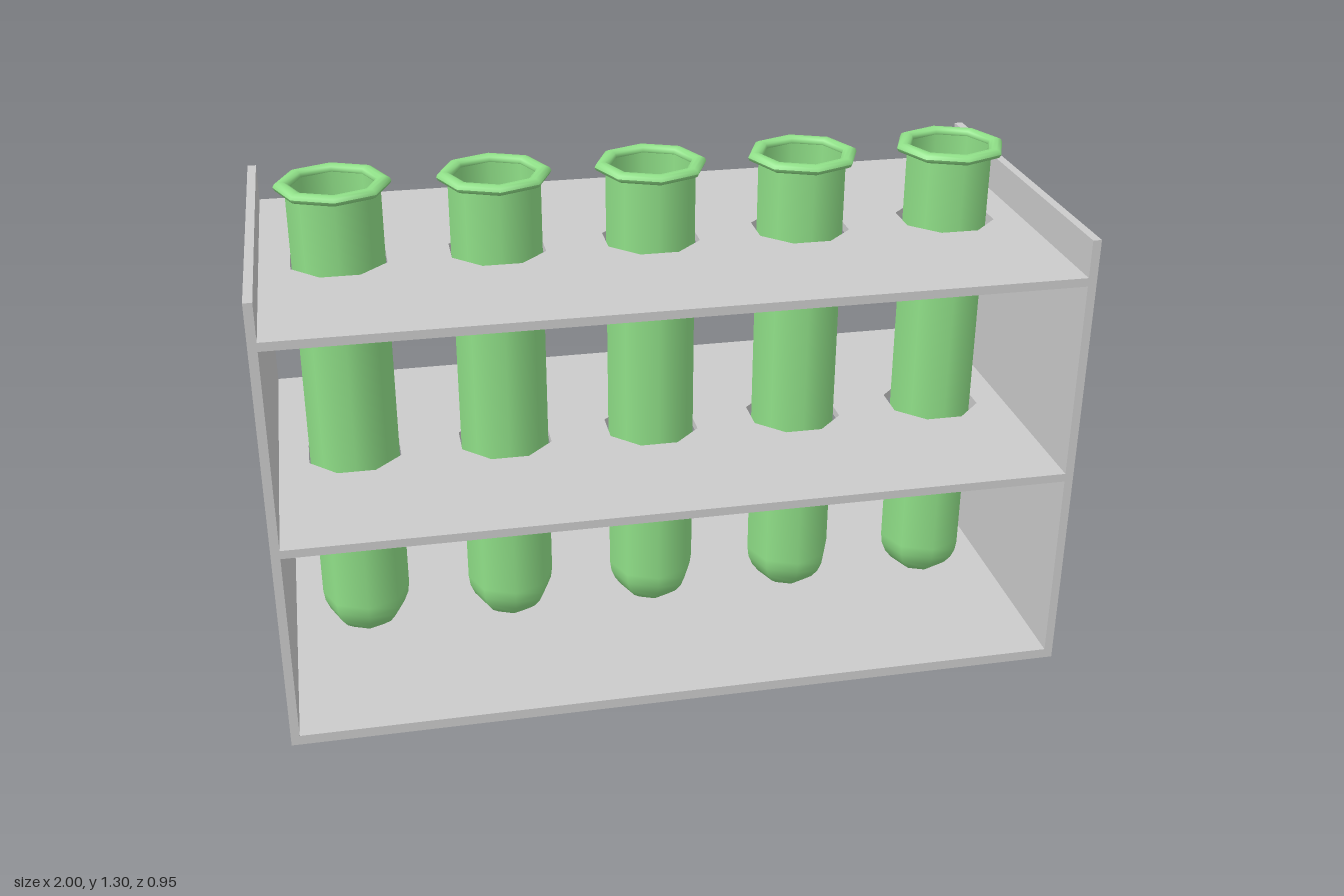
import * as THREE from 'three';

const DEPTH = 0.95, HEIGHT = 1.19, T = 0.022;
const PITCH = 0.392, R = 0.115, SIDES = 8;
const tubeX = [-2, -1, 0, 1, 2].map((i) => i * PITCH);

const grey = new THREE.MeshStandardMaterial({ color: 0xcccccc });
const green = new THREE.MeshStandardMaterial({ color: 0x90e088 });

function add(parent, name, geometry, material, x = 0, y = 0) {
  const mesh = new THREE.Mesh(geometry, material);
  mesh.name = name;
  mesh.position.set(x, y, 0);
  parent.add(mesh);
  return mesh;
}

// Horizontal board with one octagonal hole per tube
function shelfGeometry() {
  const w = 1 - T, d = DEPTH / 2;
  const shape = new THREE.Shape([[-w, -d], [w, -d], [w, d], [-w, d]].map((p) => new THREE.Vector2(...p)));
  for (const x of tubeX) {
    const corners = [];
    for (let i = 0; i < SIDES; i++) {
      const a = -((i + 0.5) / SIDES) * Math.PI * 2;
      corners.push(new THREE.Vector2(x + 0.127 * Math.cos(a), 0.127 * Math.sin(a)));
    }
    shape.holes.push(new THREE.Path(corners));
  }
  return new THREE.ExtrudeGeometry(shape, { depth: T, bevelEnabled: false }).rotateX(-Math.PI / 2);
}

// Round-bottomed profile from the lowest point up to the mouth
function wallProfile(radius, centreY, topY) {
  const points = [];
  for (let i = 0; i <= 6; i++) {
    const a = (i / 6) * Math.PI / 2;
    points.push(new THREE.Vector2(radius * Math.sin(a), centreY - radius * Math.cos(a)));
  }
  points.push(new THREE.Vector2(radius, topY));
  return points;
}

// Rounded lip, an ellipse in section
function lipProfile() {
  const points = [];
  for (let i = 0; i <= 10; i++) {
    const a = (i / 10) * Math.PI * 2;
    points.push(new THREE.Vector2(0.123 + 0.019 * Math.cos(a), 0.013 * Math.sin(a)));
  }
  return points;
}

export function createModel() {
  const model = new THREE.Group();
  model.name = 'testTubeRack';

  // Rack
  const rack = new THREE.Group();
  rack.name = 'rack';
  model.add(rack);
  add(rack, 'base', new THREE.BoxGeometry(2 - 2 * T, 0.026, DEPTH), grey, 0, 0.013);
  for (const s of [-1, 1]) {
    add(rack, s > 0 ? 'leftPanel' : 'rightPanel', new THREE.BoxGeometry(T, HEIGHT, DEPTH), grey, s * (1 - T / 2), HEIGHT / 2);
  }
  const shelf = shelfGeometry();
  add(rack, 'lowerShelf', shelf, grey, 0, 0.537);
  add(rack, 'upperShelf', shelf, grey, 0, 1.072);

  // Tubes with outer wall, inner wall and lip
  const outer = new THREE.LatheGeometry(wallProfile(R, 0.143, 1.285), SIDES);
  const inner = new THREE.LatheGeometry(wallProfile(0.106, 0.143, 1.285).reverse(), SIDES);
  const lip = new THREE.LatheGeometry(lipProfile(), SIDES);
  for (const x of tubeX) {
    const tube = new THREE.Group();
    tube.name = 'testTube';
    tube.position.x = x;
    add(tube, 'outerWall', outer, green);
    add(tube, 'innerWall', inner, green);
    add(tube, 'lip', lip, green, 0, 1.287);
    model.add(tube);
  }
  return model;
}
